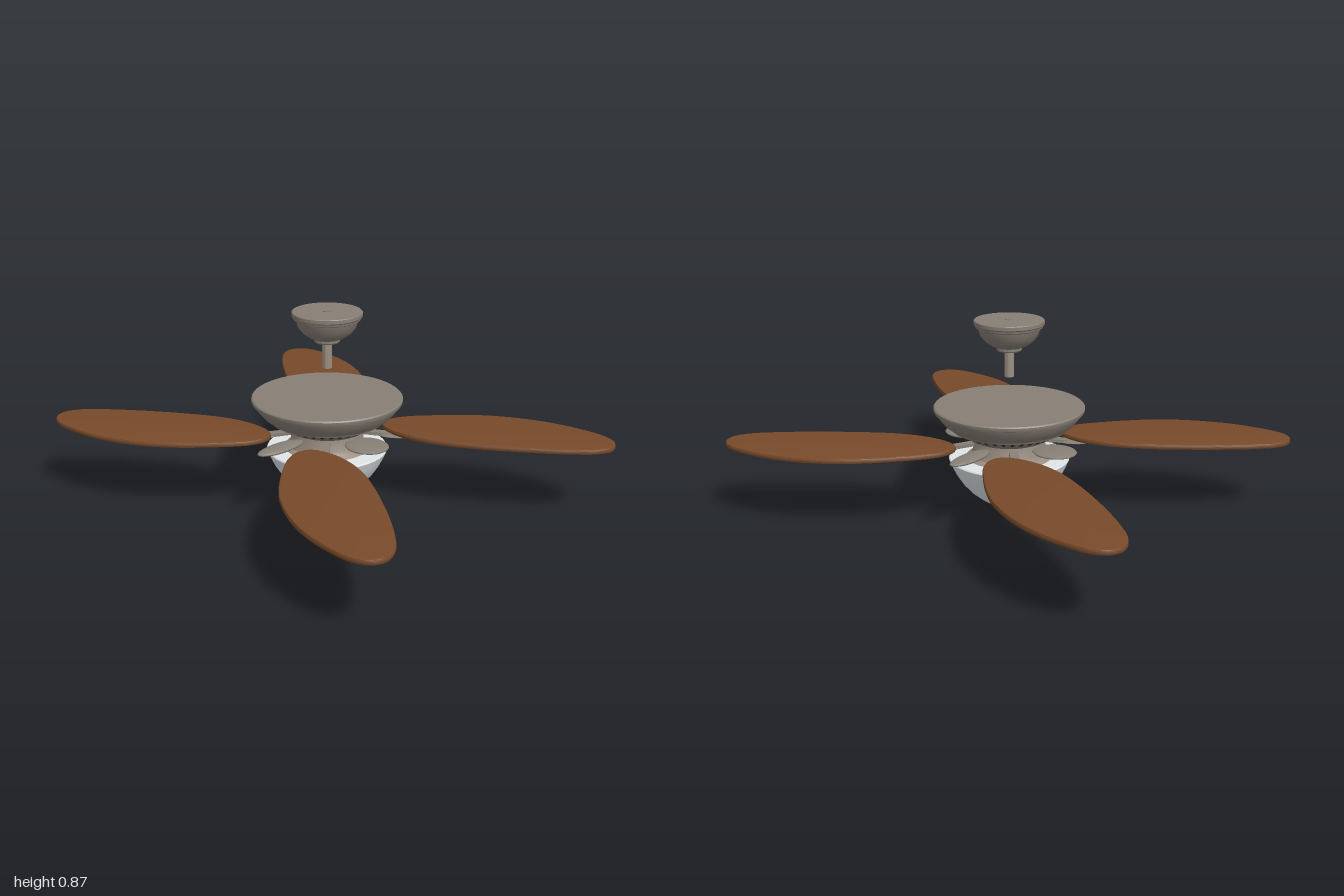
import * as THREE from 'three';
import { toCreasedNormals } from 'three/addons/utils/BufferGeometryUtils.js';

const mat = (name, color, side = THREE.FrontSide) => {
  const m = new THREE.MeshStandardMaterial({ color, side });
  m.name = name;
  return m;
};
const V = (x, y) => new THREE.Vector2(x, y);

export function createModel() {
  const fan = new THREE.Group();
  fan.name = 'ceilingFan';
  const pewter = mat('pewter', 0x877f75);
  const nickel = mat('warmNickel', 0x9b8e82);
  const dark = mat('ventShadow', 0x35322e);
  const wood = mat('wood', 0x784a2a);
  const glass = mat('frostedGlass', 0xe0e5e8, THREE.DoubleSide);

  const add = (name, geometry, material, parent = fan) => {
    const mesh = new THREE.Mesh(geometry, material);
    mesh.name = name;
    parent.add(mesh);
    return mesh;
  };
  // Turned part, profile listed from bottom to top as [radius, height]
  const turned = (name, profile, material) => add(name,
    toCreasedNormals(new THREE.LatheGeometry(profile.map(p => V(...p)), 64), 0.5), material);

  // Ceiling canopy and downrod
  turned('canopy', [[0, 0.737], [0.052, 0.737], [0.055, 0.742], [0.055, 0.752], [0.08, 0.762],
    [0.105, 0.78], [0.124, 0.804], [0.134, 0.835], [0.144, 0.84], [0.146, 0.848],
    [0.151, 0.853], [0.151, 0.868], [0.148, 0.871], [0, 0.871]], pewter);
  turned('canopyScrew', [[0.018, 0.87], [0.018, 0.874], [0, 0.874]], pewter);
  turned('downrod', [[0, 0.622], [0.021, 0.622], [0.021, 0.74]], nickel);

  // Motor housing with stepped rims
  turned('motorHousing', [[0, 0.345], [0.16, 0.345], [0.175, 0.352], [0.205, 0.372],
    [0.232, 0.39], [0.252, 0.394], [0.256, 0.402], [0.285, 0.422], [0.306, 0.447],
    [0.315, 0.468], [0.326, 0.472], [0.329, 0.478], [0.329, 0.489], [0.324, 0.494], [0, 0.494]], pewter);

  // Vent slots around the lower slope of the housing
  const vents = new THREE.Group();
  vents.name = 'vents';
  fan.add(vents);
  for (let i = 0; i < 36; i++) {
    const pivot = new THREE.Group();
    pivot.rotation.y = i / 36 * Math.PI * 2;
    vents.add(pivot);
    const vent = add('vent', new THREE.BoxGeometry(0.028, 0.004, 0.014), dark, pivot);
    vent.position.set(0.219, 0.381, 0);
    vent.rotation.z = 0.59;
  }

  // Neck, light fitter, glass bowl and finial
  turned('neck', [[0.19, 0.262], [0.184, 0.266], [0.168, 0.276], [0.16, 0.292], [0.158, 0.35]], nickel);
  turned('glassBowl', [[0.018, 0.026], [0.05, 0.034], [0.09, 0.05], [0.13, 0.075], [0.17, 0.107],
    [0.205, 0.145], [0.233, 0.187], [0.252, 0.225], [0.265, 0.256], [0.262, 0.261], [0.15, 0.264]], glass);
  turned('finial', [[0, 0], [0.007, 0.003], [0.012, 0.011], [0.013, 0.016], [0.024, 0.02],
    [0.034, 0.027], [0.036, 0.032], [0, 0.034]], pewter);

  // Four leaf-shaped blades, mirrored in both directions
  const outline = [[0.2, 0.175], [0.192, 0.24], [0.205, 0.34], [0.245, 0.45], [0.31, 0.565],
    [0.39, 0.685], [0.475, 0.8], [0.555, 0.895], [0.63, 0.967], [0.7, 0.994], [0.757, 0.968],
    [0.786, 0.9], [0.786, 0.8], [0.768, 0.68], [0.732, 0.57], [0.68, 0.465], [0.615, 0.37],
    [0.535, 0.285], [0.445, 0.205], [0.36, 0.14], [0.28, 0.11], [0.225, 0.125]];
  const bevel = 0.008;
  for (const sx of [1, -1]) for (const sz of [1, -1]) {
    const shape = new THREE.Shape();
    const pts = outline.map(([x, y]) => V(x * sx, y * sz));
    const curve = new THREE.CatmullRomCurve3(pts.map(p => new THREE.Vector3(p.x, p.y, 0)), true);
    shape.setFromPoints(curve.getPoints(88).slice(0, -1).map(p => V(p.x, p.y)));
    const geometry = new THREE.ExtrudeGeometry(shape, {
      depth: 0.01, bevelEnabled: true, bevelThickness: 0.007, bevelSize: bevel,
      bevelOffset: -bevel + 0.005, bevelSegments: 2 });
    geometry.rotateX(-Math.PI / 2).translate(0, 0.325, 0);
    add('blade', toCreasedNormals(geometry, 0.6), wood);

    // Leaf bracket holding the blade from below
    const bracket = new THREE.Group();
    bracket.name = 'bladeBracket';
    bracket.rotation.y = Math.atan2(0.7 * sz, 0.75 * sx);
    fan.add(bracket);
    const leaf = add('bracketLeaf', new THREE.SphereGeometry(1, 28, 12), pewter, bracket);
    leaf.scale.set(0.095, 0.009, 0.055);
    leaf.position.set(0.315, 0.314, 0);
    const arm = add('bracketArm', new THREE.BoxGeometry(0.14, 0.014, 0.04), pewter, bracket);
    arm.position.set(0.2, 0.322, 0);
    arm.rotation.z = -0.12;
  }

  // Decorative petals between the blades: [angle, centre, half length, half width]
  for (let i = 0; i < 4; i++) {
    const [centre, length, width] = i % 2 ? [0.24, 0.098, 0.09] : [0.275, 0.125, 0.045];
    const pivot = new THREE.Group();
    pivot.name = 'petalArm';
    pivot.rotation.y = i * Math.PI / 2;
    fan.add(pivot);
    const petal = add('petal', new THREE.SphereGeometry(1, 32, 12), pewter, pivot);
    petal.scale.set(length, 0.014, width);
    petal.position.set(centre, 0.327, 0);
  }
  return fan;
}
